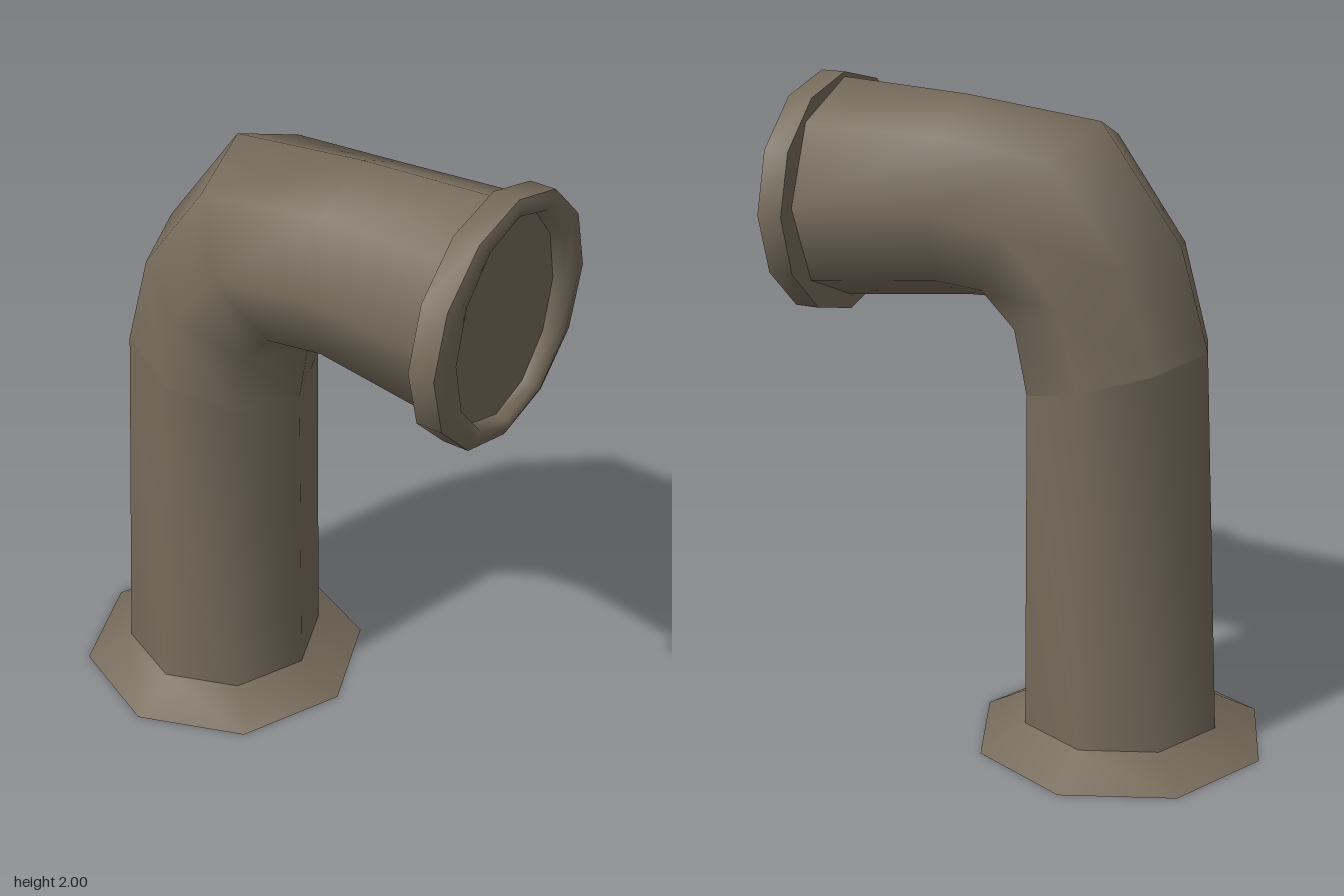
import * as THREE from 'three';

// Skin a row of closed oval sections; each is [topX, topY, bottomX, bottomY, halfWidthZ]
function loft(sections, sides) {
  const pos = [], index = [];
  for (const [tx, ty, bx, by, w] of sections) {
    for (let j = 0; j < sides; j++) {
      const a = (j / sides) * Math.PI * 2, c = Math.cos(a) / 2;
      pos.push((tx + bx) / 2 + c * (tx - bx), (ty + by) / 2 + c * (ty - by), Math.sin(a) * w);
    }
  }
  for (let i = 0; i < sections.length - 1; i++) {
    for (let j = 0; j < sides; j++) {
      const k = (j + 1) % sides, p = i * sides, q = p + sides;
      index.push(p + j, p + k, q + j, p + k, q + k, q + j);
    }
  }
  const g = new THREE.BufferGeometry();
  g.setAttribute('position', new THREE.Float32BufferAttribute(pos, 3));
  g.setIndex(index);
  g.computeVertexNormals();
  return g;
}

export function createModel() {
  const group = new THREE.Group();
  const metal = new THREE.MeshStandardMaterial({ color: 0x766b5b, side: THREE.DoubleSide });
  metal.name = 'dull brown metal';
  const add = (name, geometry) => {
    const mesh = new THREE.Mesh(geometry, metal);
    mesh.name = name;
    group.add(mesh);
  };

  // Flared foot, open underneath
  add('baseFlange', loft([
    [-0.745, 0, 0.175, 0, 0.46],
    [-0.6, 0.08, 0.03, 0.08, 0.315],
  ], 8));

  // Upright pipe, cut at a slant where the bend starts
  add('uprightPipe', loft([
    [-0.6, 0.08, 0.03, 0.08, 0.315],
    [-0.545, 1.27, 0.02, 1.11, 0.295],
  ], 8));

  // Bend and outlet, narrowing at the neck
  add('elbowAndOutlet', loft([
    [-0.545, 1.27, 0.02, 1.11, 0.295],
    [-0.455, 1.58, 0.05, 1.29, 0.3],
    [-0.2, 1.92, 0.12, 1.36, 0.325],
    [0.23, 1.965, 0.24, 1.355, 0.285],
    [0.65, 1.985, 0.65, 1.305, 0.325],
  ], 8));

  // Twelve-sided rim around the mouth
  const ring = (x, h, w) => [x, 1.63 + h, x, 1.63 - h, w];
  add('rimBack', loft([ring(0.65, 0.3, 0.27), ring(0.65, 0.37, 0.385)], 12));
  add('rimOuter', loft([ring(0.65, 0.37, 0.385), ring(0.73, 0.37, 0.385)], 12));
  add('rimFront', loft([
    ring(0.73, 0.37, 0.385),
    ring(0.743, 0.345, 0.335),
    ring(0.735, 0.322, 0.285),
    ring(0.7, 0.315, 0.27),
  ], 12));

  // Flat plate closing the mouth
  const plate = new THREE.CircleGeometry(1, 12);
  plate.scale(0.27, 0.315, 1).rotateY(Math.PI / 2).translate(0.7, 1.63, 0);
  add('mouthPlate', plate);

  return group;
}
